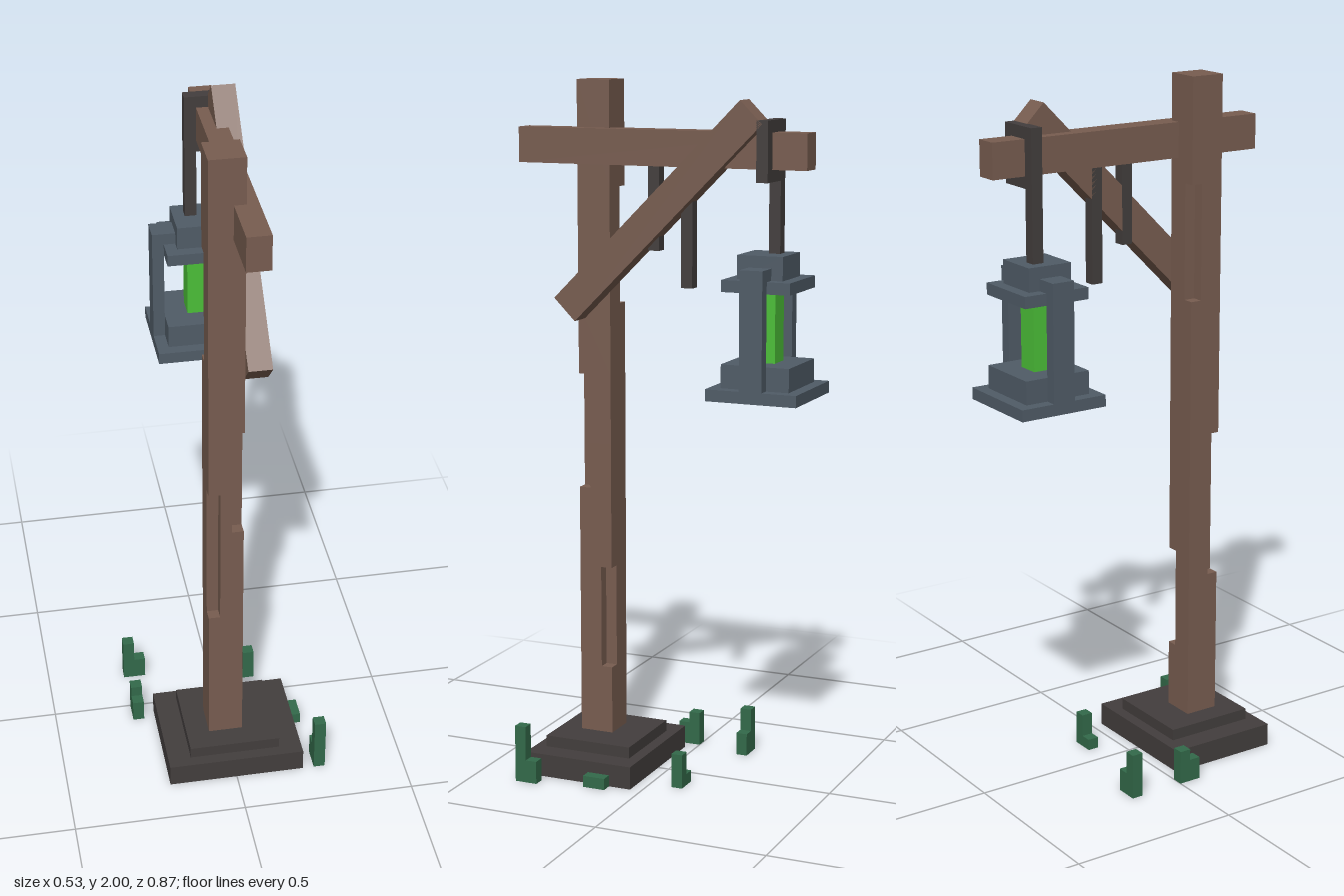
import * as THREE from 'three';

const U = 1 / 30; // one block unit

const mat = (name, color) => {
  const m = new THREE.MeshStandardMaterial({ color });
  m.name = name;
  return m;
};

export function createModel() {
  const model = new THREE.Group();
  model.name = 'lanternPost';

  const wood = mat('brown wood', 0x785d50);
  const dark = mat('dark stone and iron', 0x433e3d);
  const slate = mat('blue grey metal', 0x505c67);
  const glow = mat('green glow', 0x4cc038);
  const plant = mat('plant green', 0x336a4a);

  const group = (name) => {
    const g = new THREE.Group();
    g.name = name;
    model.add(g);
    return g;
  };

  // Box given by its limits in block units
  const box = (parent, name, material, x0, x1, y0, y1, z0, z1) => {
    const geo = new THREE.BoxGeometry((x1 - x0) * U, (y1 - y0) * U, (z1 - z0) * U);
    const mesh = new THREE.Mesh(geo, material);
    mesh.position.set((x0 + x1) / 2 * U, (y0 + y1) / 2 * U, (z0 + z1) / 2 * U);
    mesh.name = name;
    parent.add(mesh);
    return mesh;
  };

  // Stepped base
  const base = group('base');
  box(base, 'lowerSlab', dark, -6, 6, 0, 2, 1, 11);
  box(base, 'upperSlab', dark, -4, 4, 2, 3, 2, 10);

  // Post with one notch in each corner: [x side, z side, bottom, top]
  const notches = [
    [1, 1, 25, 35],
    [-1, 1, 16, 29],
    [1, -1, 9, 18],
    [-1, -1, 41, 51],
  ];
  const post = group('post');
  const levels = [3, 60, ...notches.flatMap((n) => [n[2], n[3]])].sort((a, b) => a - b);
  for (let i = 0; i < levels.length - 1; i++) {
    const [y0, y1] = [levels[i], levels[i + 1]];
    const points = [];
    // Corners in counterclockwise order, cut where a notch crosses this level
    [[1, 1], [-1, 1], [-1, -1], [1, -1]].forEach(([sx, sy]) => {
      const cut = notches.some((n) => n[0] === sx && n[1] === -sy && n[2] <= y0 && n[3] >= y1);
      const o = 1.5, c = 0.5;
      if (!cut) points.push([o * sx, o * sy]);
      else if (sx * sy > 0) points.push([o * sx, c * sy], [c * sx, c * sy], [c * sx, o * sy]);
      else points.push([c * sx, o * sy], [c * sx, c * sy], [o * sx, c * sy]);
    });
    const shape = new THREE.Shape(points.map(([x, y]) => new THREE.Vector2(x * U, y * U)));
    const geo = new THREE.ExtrudeGeometry(shape, { depth: (y1 - y0) * U, bevelEnabled: false });
    geo.rotateX(-Math.PI / 2);
    const mesh = new THREE.Mesh(geo, wood);
    mesh.name = 'postSection';
    mesh.position.set(-0.5 * U, y0 * U, 6.5 * U);
    post.add(mesh);
  }

  // Cross beam and diagonal brace
  box(model, 'beam', wood, 0, 2, 53, 56, -13, 13);
  const brace = new THREE.Mesh(new THREE.BoxGeometry(2 * U, 0.09, 0.795), wood);
  brace.name = 'brace';
  brace.position.set(2 * U, 1.64, -0.003);
  brace.rotation.x = Math.PI / 4;
  model.add(brace);

  // Iron loop round the beam, its hanger, and two loose chains
  const iron = group('ironwork');
  box(iron, 'loopTop', dark, -1, 3, 56, 57, -10, -9);
  box(iron, 'loopBottom', dark, -1, 3, 52, 53, -10, -9);
  box(iron, 'loopLeft', dark, 2, 3, 53, 56, -10, -9);
  box(iron, 'loopRight', dark, -1, 0, 53, 56, -10, -9);
  box(iron, 'hanger', dark, -1, 0, 46, 52, -10, -9);
  box(iron, 'shortChain', dark, 1, 2, 46, 53, 0, 1);
  box(iron, 'longChain', dark, 1, 2, 43, 53, -3, -2);

  // Lantern
  const lantern = group('lantern');
  box(lantern, 'bottomPlate', slate, -4, 4, 34, 35, -13, -5);
  box(lantern, 'bottomStep', slate, -3, 3, 35, 37, -12, -6);
  box(lantern, 'roofPlate', slate, -3, 3, 43, 44, -12, -6);
  box(lantern, 'roofCap', slate, -2, 2, 44, 46, -11, -7);
  box(lantern, 'light', glow, -1, 1, 37, 43, -10, -8);
  for (const s of [-1, 1]) {
    box(lantern, 'upright', slate, Math.min(3 * s, 4 * s), Math.max(3 * s, 4 * s), 35, 45, -10, -8);
    box(lantern, 'topArm', slate, Math.min(2 * s, 3 * s), Math.max(2 * s, 3 * s), 44, 45, -10, -8);
  }

  // Grass tufts: [x0, x1, height, z0, z1]
  const grass = group('grass');
  [
    [-8, -7, 4, -5, -4], [-7, -6, 2, -5, -4],
    [-8, -7, 3, 0, 1], [-8, -7, 2, 1, 2],
    [3, 4, 3, -3, -2], [2, 3, 1, -3, -2],
    [6, 7, 1, 3, 5],
    [7, 8, 5, 10, 11], [7, 8, 2, 9, 10],
  ].forEach(([x0, x1, h, z0, z1]) => box(grass, 'blade', plant, x0, x1, 0, h, z0, z1));

  return model;
}
